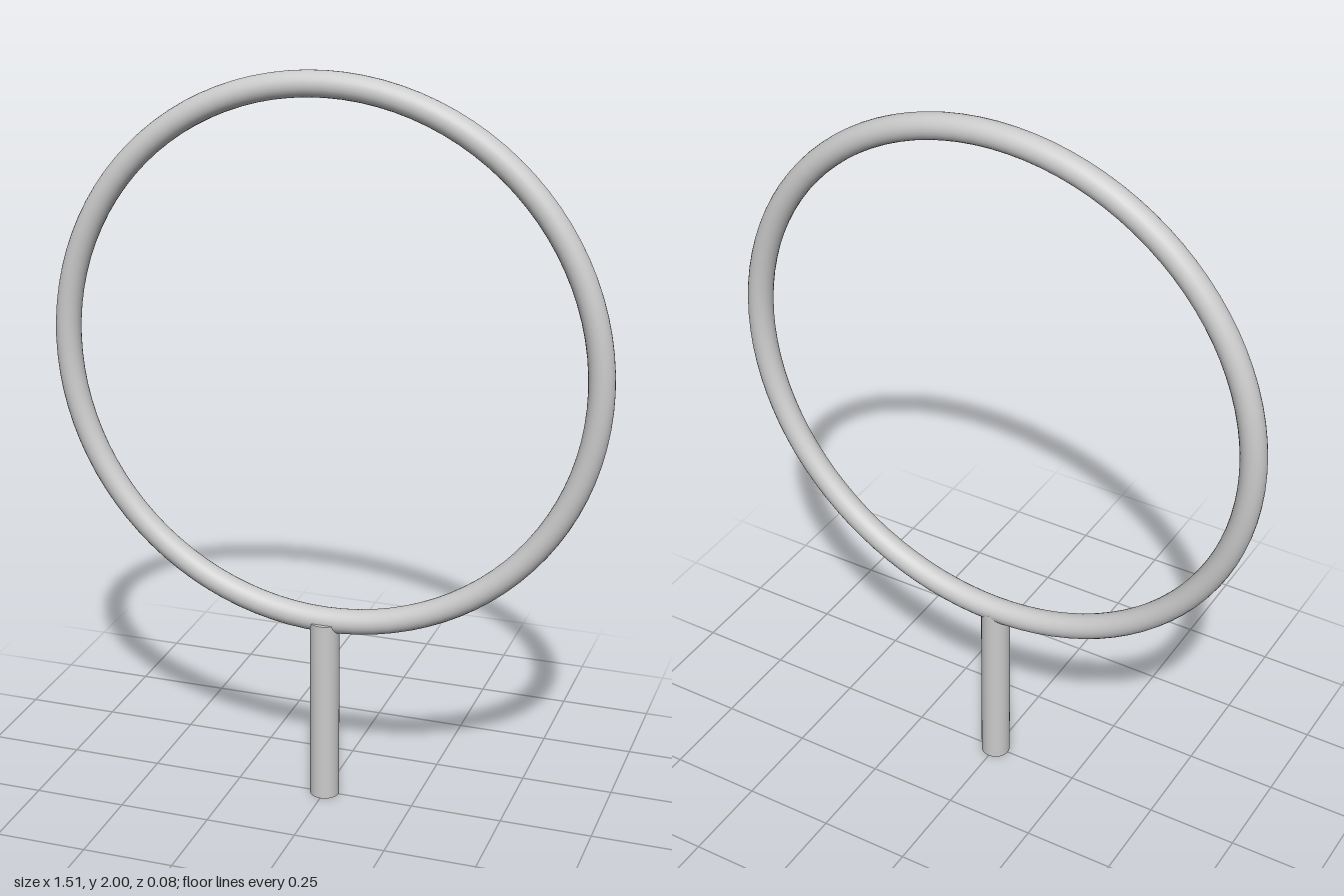
import * as THREE from 'three';

export function createModel() {
  const group = new THREE.Group();
  const material = new THREE.MeshStandardMaterial({ color: 0xcccccc });

  function add(name, geometry, y, z) {
    const mesh = new THREE.Mesh(geometry, material);
    mesh.name = name;
    mesh.position.set(0, y, z);
    group.add(mesh);
  }

  // Large round hoop, set slightly behind the handle's axis
  const tube = 0.034, outer = 0.757;
  add('hoop', new THREE.TorusGeometry(outer - tube, tube, 24, 96), 2 - outer, -0.006);

  // Straight handle, its top ending inside the hoop
  const height = 0.517;
  add('handle', new THREE.CylinderGeometry(0.04, 0.04, height, 32), height / 2, 0);

  return group;
}
